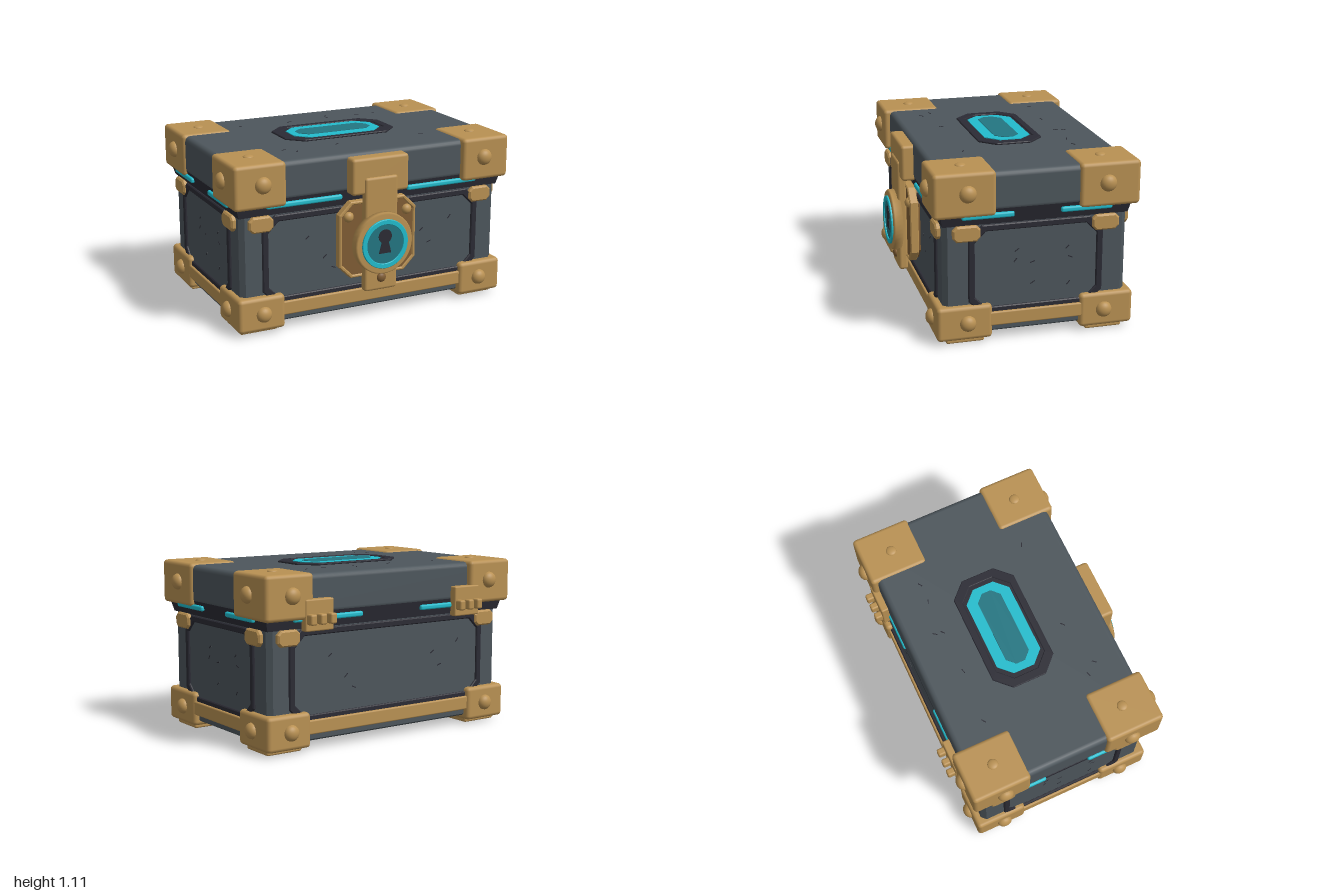
import * as THREE from 'three';
import { RoundedBoxGeometry } from 'three/addons/geometries/RoundedBoxGeometry.js';

const CZ = -0.025; // depth centre of the chest itself (the lock sticks out in front)

const paint = (name, color) => {
  const m = new THREE.MeshStandardMaterial({ color });
  m.name = name;
  return m;
};

// Rectangle with cut corners, centred on (0, y)
function octagon(hw, hh, c, y = 0, Type = THREE.Shape) {
  return new Type([
    [-hw + c, -hh], [hw - c, -hh], [hw, -hh + c], [hw, hh - c],
    [hw - c, hh], [-hw + c, hh], [-hw, hh - c], [-hw, -hh + c],
  ].map(([px, py]) => new THREE.Vector2(px, py + y)));
}

// Extruded plate from z = 0 to z = depth with a bevelled rim inside the outline
function plate(shape, depth, bevel = 0) {
  const g = new THREE.ExtrudeGeometry(shape, {
    depth: depth - 2 * bevel, bevelEnabled: bevel > 0, bevelSize: bevel,
    bevelThickness: bevel, bevelOffset: -bevel, bevelSegments: 1, curveSegments: 24,
  });
  return g.translate(0, 0, bevel);
}

// Rivet dome facing +z
function dome(r, h) {
  return new THREE.SphereGeometry(r, 20, 8, 0, Math.PI * 2, 0, Math.PI / 2)
    .scale(1, h / r, 1).rotateX(Math.PI / 2);
}

const rbox = (w, h, d, r = 0.025) => new RoundedBoxGeometry(w, h, d, 2, r);

export function createModel() {
  const root = new THREE.Group();
  root.name = 'chest';
  const grey = paint('slate grey', 0x4d565c);
  const dark = paint('dark trim', 0x2b2b34);
  const gold = paint('brass', 0xb99153);
  const brown = paint('dark brass', 0x7f5c34);
  const cyan = paint('bright cyan', 0x22bccd);
  const teal = paint('deep teal', 0x237682);

  const add = (parent, name, geo, mat, x = 0, y = 0, z = 0) => {
    const m = new THREE.Mesh(geo, mat);
    m.name = name;
    m.position.set(x, y, z);
    parent.add(m);
    return m;
  };
  // Small scratch: a slim slanted sliver facing +z
  const scratch = (parent, x, y, z, i) => {
    const m = add(parent, 'scratch', new THREE.BoxGeometry(0.032, 0.006, 0.004), dark, x, y, z);
    m.rotation.z = [0.6, 0.9, 0.3, 0.7, -0.4][i % 5];
  };

  // Body, with bevelled upright corners
  const body = plate(octagon(0.905, 0.58, 0.03), 0.71, 0.01).rotateX(-Math.PI / 2);
  add(root, 'body', body, grey, 0, 0.06, CZ);

  // Dark rim under the lid, narrower towards the bottom
  const rim = new THREE.BoxGeometry(1.88, 0.1, 1.205);
  const rp = rim.attributes.position;
  for (let i = 0; i < rp.count; i++) {
    if (rp.getY(i) < 0) rp.setXYZ(i, rp.getX(i) * 0.97, rp.getY(i), rp.getZ(i) * 0.965);
  }
  rim.computeVertexNormals();
  add(root, 'lidRim', rim, dark, 0, 0.81, CZ);

  // Lid
  add(root, 'lid', rbox(1.885, 0.25, 1.21, 0.035), grey, 0, 0.965, CZ);

  // Corner guards, feet and top rivets
  for (const sx of [-1, 1]) {
    for (const sz of [-1, 1]) {
      add(root, 'upperCorner', rbox(0.34, 0.28, 0.385), gold, sx * 0.79, 0.96, CZ + sz * 0.4525);
      add(root, 'lowerCorner', rbox(0.31, 0.22, 0.345), gold, sx * 0.785, 0.14, CZ + sz * 0.4525);
      add(root, 'foot', rbox(0.25, 0.05, 0.24, 0.012), gold, sx * 0.785, 0.027, CZ + sz * 0.445);
      add(root, 'topRivet', dome(0.034, 0.014), gold, sx * 0.785, 1.099, CZ + sz * 0.44)
        .rotation.x = -Math.PI / 2;
    }
  }

  // The four sides: d values are distances of each layer from the chest centre
  const wide = {
    body: 0.58, rim: 0.6025, up: 0.645, low: 0.625, frame: 0.765, rail: 0.65,
    strip: 0.485, stripLen: 0.51, clip: 0.775, clipW: 0.16, bolt: 0.775,
    marks: [[-0.46, 0.58], [0.56, 0.58], [0.41, 0.43], [-0.34, 0.44], [-0.28, 0.36], [0.35, 0.52]],
  };
  const narrow = {
    body: 0.905, rim: 0.94, up: 0.96, low: 0.94, frame: 0.425, rail: 0.32,
    strip: 0.308, stripLen: 0.325, clip: 0.437, clipW: 0.172, bolt: 0.435,
    marks: [[-0.12, 0.575], [-0.13, 0.51], [-0.02, 0.49], [0.2, 0.565], [0.22, 0.5], [-0.02, 0.355], [0.21, 0.33]],
  };
  ['front', 'left', 'back', 'right'].forEach((side, k) => {
    const s = k % 2 ? narrow : wide;
    const g = new THREE.Group();
    g.name = side + 'Side';
    g.position.z = CZ;
    g.rotation.y = k * Math.PI / 2;
    root.add(g);

    // Raised panel frame
    const ring = octagon(s.frame, 0.285, 0.085, 0.47);
    ring.holes.push(octagon(s.frame - 0.04, 0.245, 0.07, 0.47, THREE.Path));
    add(g, 'panelFrame', plate(ring, 0.02, 0.006), dark, 0, 0, s.body - 0.005);

    // Bottom rail
    add(g, 'bottomRail', rbox(s.rail * 2, 0.09, 0.05, 0.01), gold, 0, 0.15, s.body + 0.005);

    for (const sx of [-1, 1]) {
      add(g, 'lightStrip', rbox(s.stripLen, 0.034, 0.03, 0.012), cyan, sx * s.strip, 0.82, s.rim - 0.004);
      add(g, 'clip', plate(octagon(s.clipW / 2, 0.05, 0.025), 0.04, 0.01), gold,
        sx * s.clip, 0.712, s.body - 0.008);
      add(g, 'upperRivet', dome(0.053, 0.04), gold, sx * s.bolt, 0.97, s.up - 0.001);
      add(g, 'lowerRivet', dome(0.051, 0.04), gold, sx * s.bolt, 0.14, s.low - 0.001);
    }
    s.marks.forEach(([x, y], i) => scratch(g, x, y, s.body, i));
  });

  // Glowing window on the lid; its group lies flat with local y pointing back
  const top = new THREE.Group();
  top.name = 'lidWindow';
  top.position.set(0, 1.088, -0.03);
  top.rotation.x = -Math.PI / 2;
  root.add(top);
  const topRing = octagon(0.395, 0.21, 0.1);
  topRing.holes.push(octagon(0.34, 0.165, 0.085, 0, THREE.Path));
  add(top, 'windowFrame', plate(topRing, 0.014, 0.004), dark);
  add(top, 'windowBed', plate(octagon(0.35, 0.175, 0.085), 0.008), dark);
  add(top, 'windowBorder', plate(octagon(0.31, 0.15, 0.08), 0.013), cyan);
  add(top, 'windowGlass', plate(octagon(0.26, 0.08, 0.05), 0.016), teal);
  [[-0.51, 0.39], [0.14, 0.43], [-0.16, 0.37], [0.13, 0.38], [0.36, 0.38], [0.49, 0.38],
    [-0.45, -0.4], [-0.51, -0.33], [-0.14, -0.33], [0.47, -0.33]]
    .forEach(([x, y], i) => scratch(top, x, y - 0.02, 0.002, i));

  // Lock: back plate, hasp, strap and round dial
  const lock = new THREE.Group();
  lock.name = 'lock';
  root.add(lock);
  const border = octagon(0.27, 0.25, 0.08, 0.54);
  border.holes.push(octagon(0.25, 0.23, 0.073, 0.54, THREE.Path));
  add(lock, 'lockPlateBorder', plate(border, 0.055, 0.006), gold, 0, 0, 0.568);
  add(lock, 'lockPlate', plate(octagon(0.255, 0.235, 0.075, 0.54), 0.06), brown, 0, 0, 0.555);
  for (const sx of [-1, 1]) {
    add(lock, 'lockRivet', dome(0.034, 0.03), gold, sx * 0.205, 0.695, 0.614);
  }
  add(lock, 'hasp', rbox(0.395, 0.235, 0.1, 0.02), gold, 0, 0.952, 0.608);
  add(lock, 'strap', rbox(0.23, 0.745, 0.06, 0.018), gold, 0, 0.572, 0.642);
  add(lock, 'strapRivet', dome(0.032, 0.022), brown, 0, 0.285, 0.671);

  const dial = [[0, 0], [0.2, 0], [0.2, 0.05], [0.19, 0.06], [0, 0.06]]
    .map(([r, h]) => new THREE.Vector2(r, h));
  const dialGeo = new THREE.LatheGeometry(dial, 40).rotateX(Math.PI / 2);
  add(lock, 'dial', dialGeo, gold, 0, 0.52, 0.655);
  const halo = new THREE.Shape().absarc(0, 0, 0.16, 0, Math.PI * 2);
  halo.holes.push(new THREE.Path().absarc(0, 0, 0.128, 0, Math.PI * 2));
  add(lock, 'dialGlow', plate(halo, 0.015, 0.003), cyan, 0, 0.52, 0.711);
  add(lock, 'dialFace', new THREE.CircleGeometry(0.135, 40), teal, 0, 0.52, 0.718);

  // Keyhole: round top over a flared slot
  const key = new THREE.Shape();
  key.moveTo(-0.043, -0.06);
  key.lineTo(0.043, -0.06);
  key.lineTo(0.024, 0.015);
  key.absarc(0, 0.05, 0.046, -0.95, Math.PI + 0.95);
  key.lineTo(-0.024, 0.015);
  add(lock, 'keyhole', plate(key, 0.004), dark, 0, 0.52, 0.717);

  // Hinges on the back: plate with three knuckles
  for (const sx of [-1, 1]) {
    const hinge = new THREE.Group();
    hinge.name = 'hinge';
    hinge.position.set(sx * 0.583, 0.845, -0.65);
    root.add(hinge);
    add(hinge, 'hingePlate', rbox(0.205, 0.195, 0.055, 0.01), gold);
    for (const i of [-1, 0, 1]) {
      add(hinge, 'hingeKnuckle', rbox(0.046, 0.066, 0.06, 0.012), gold, i * 0.072, -0.022, -0.045);
    }
  }
  return root;
}
